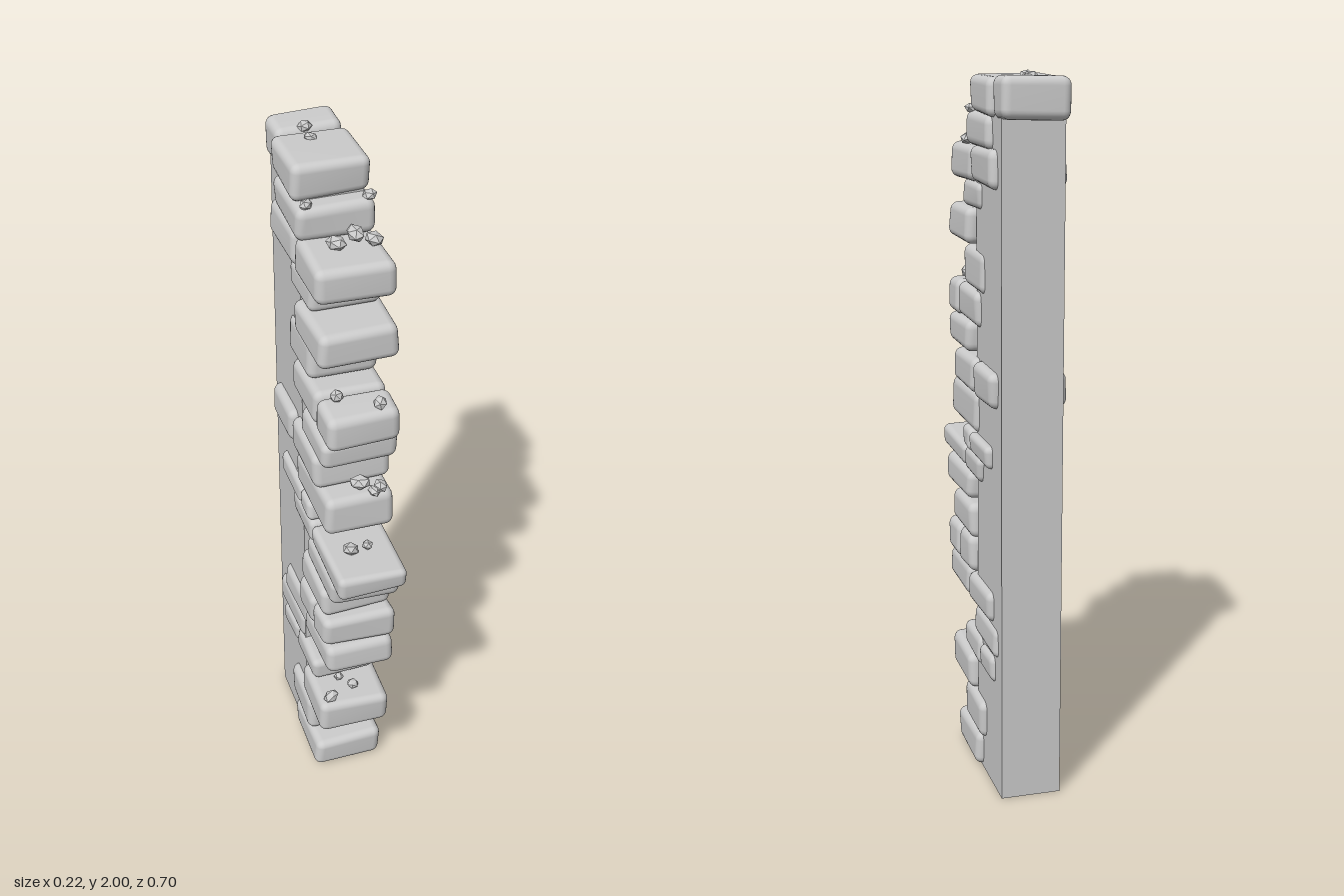
import * as THREE from 'three';
import { RoundedBoxGeometry } from 'three/addons/geometries/RoundedBoxGeometry.js';
import { mergeVertices } from 'three/addons/utils/BufferGeometryUtils.js';

const stone = new THREE.MeshStandardMaterial({ color: 0xcccccc });
const chipped = new THREE.MeshStandardMaterial({ color: 0xcccccc, flatShading: true });

// Small seeded generator, -1..1
function seeded(seed) {
  let s = seed * 7919 + 17;
  return () => {
    s = (s * 16807) % 2147483647;
    return (s / 2147483647) * 2 - 1;
  };
}

// Worn brick: rounded box whose eight corners are pulled slightly out of square
function brickGeometry(w, h, d, seed) {
  const rand = seeded(seed);
  for (let i = 0; i < 5; i++) rand();
  const radius = Math.min(0.024, h * 0.28, d * 0.28);
  let geo = new RoundedBoxGeometry(w, h, d, 3, radius);
  geo.deleteAttribute('normal');
  geo.deleteAttribute('uv');
  geo = mergeVertices(geo, 1e-4);
  const pull = Array.from({ length: 8 }, () =>
    new THREE.Vector3(rand() * 0.005, rand() * 0.006, rand() * 0.007));
  const pos = geo.attributes.position;
  const p = new THREE.Vector3();
  for (let i = 0; i < pos.count; i++) {
    p.fromBufferAttribute(pos, i);
    const u = p.x / w + 0.5, v = p.y / h + 0.5, t = p.z / d + 0.5;
    pull.forEach((c, k) => {
      const weight = (k & 1 ? u : 1 - u) * (k & 2 ? v : 1 - v) * (k & 4 ? t : 1 - t);
      p.addScaledVector(c, weight);
    });
    pos.setXYZ(i, p.x, p.y, p.z);
  }
  geo.computeVertexNormals();
  return geo;
}

// Courses from the ground up: bottom, top, half width, then z where each brick starts and ends
const courses = [
  [0.003, 0.103, 0.105, 0.14, -0.085],
  [0.105, 0.217, 0.105, 0.07, -0.12],
  [0.218, 0.325, 0.105, 0.205, -0.015],
  [0.325, 0.402, 0.098, 0.085, -0.09, -0.22],
  [0.402, 0.495, 0.098, -0.025, -0.25],
  [0.495, 0.583, 0.102, 0.24, 0.02, -0.2],
  [0.584, 0.685, 0.108, 0.225, 0.115, -0.015],
  [0.685, 0.782, 0.102, 0.2, -0.01],
  [0.784, 0.87, 0.1, 0.275, 0.02],
  [0.87, 0.94, 0.1, 0.345, 0.08, -0.095],
  [0.94, 1.005, 0.105, 0.07, -0.01, -0.195],
  [1.008, 1.115, 0.1, 0.225, -0.055],
  [1.117, 1.22, 0.109, 0.155, -0.065, -0.25],
  [1.22, 1.306, 0.106, 0.22, 0.015],
  [1.308, 1.407, 0.1, 0.255, 0.135, -0.08],
  [1.409, 1.52, 0.096, 0.07, -0.12],
  [1.524, 1.627, 0.109, 0.205, -0.015],
  [1.626, 1.702, 0.095, 0.085, -0.09],
  [1.7, 1.8, 0.104, 0.18, -0.025, -0.25],
  [1.8, 1.886, 0.106, 0.025, -0.2],
  [1.885, 1.987, 0.105, -0.02, -0.222],
  [1.88, 1.988, 0.092, -0.225, -0.345],
];

// Rubble resting on ledges: x, y, z, size
const rubble = [
  [-0.07, 0.342, 0.175, 0.024], [0.01, 0.338, 0.14, 0.018], [-0.02, 0.335, 0.095, 0.016],
  [-0.03, 0.952, 0.23, 0.023], [0.02, 0.95, 0.225, 0.018],
  [0.01, 1.14, 0.185, 0.027], [0.06, 1.135, 0.21, 0.023], [0.04, 1.125, 0.215, 0.018],
  [0.048, 1.418, 0.225, 0.024], [-0.05, 1.42, 0.165, 0.025],
  [-0.02, 1.81, 0.068, 0.024], [0.036, 1.82, 0.052, 0.028], [0.078, 1.81, 0.075, 0.024],
  [-0.078, 1.893, 0.004, 0.019], [0.09, 1.893, 0.0, 0.018],
  [-0.01, 1.985, -0.172, 0.018], [-0.005, 1.985, -0.24, 0.019],
];

// Angular chip of stone
function rockGeometry(size, seed) {
  const rand = seeded(seed + 50);
  for (let i = 0; i < 5; i++) rand();
  const geo = new THREE.IcosahedronGeometry(size, 0);
  geo.scale(1 + rand() * 0.25, 0.75, 1 + rand() * 0.25);
  geo.rotateY(rand() * 3);
  geo.rotateZ(rand() * 0.4);
  geo.computeVertexNormals();
  return geo;
}

export function createModel() {
  const group = new THREE.Group();

  // Plain square core behind the brickwork
  const core = new THREE.Mesh(new THREE.BoxGeometry(0.17, 1.9, 0.255), stone);
  core.name = 'wallCore';
  core.position.set(0, 0.95, -0.1575);
  group.add(core);

  // Toothed brick edge, each brick running through the full thickness
  const bricks = new THREE.Group();
  bricks.name = 'bricks';
  let seed = 1;
  courses.forEach(([bottom, top, half, ...ends], row) => {
    for (let i = 0; i + 1 < ends.length; i++) {
      const depth = ends[i] - ends[i + 1];
      const brick = new THREE.Mesh(brickGeometry(half * 2, top - bottom, depth, seed++), stone);
      brick.name = `brick${row + 1}_${i + 1}`;
      brick.position.set(row === courses.length - 1 ? 0.004 : 0, (bottom + top) / 2, (ends[i] + ends[i + 1]) / 2);
      bricks.add(brick);
    }
  });
  group.add(bricks);

  // Loose chips
  const chips = new THREE.Group();
  chips.name = 'rubble';
  rubble.forEach(([x, y, z, size], i) => {
    const chip = new THREE.Mesh(rockGeometry(size, i), chipped);
    chip.name = `chip${i + 1}`;
    chip.position.set(x, y, z);
    chips.add(chip);
  });
  group.add(chips);

  return group;
}
